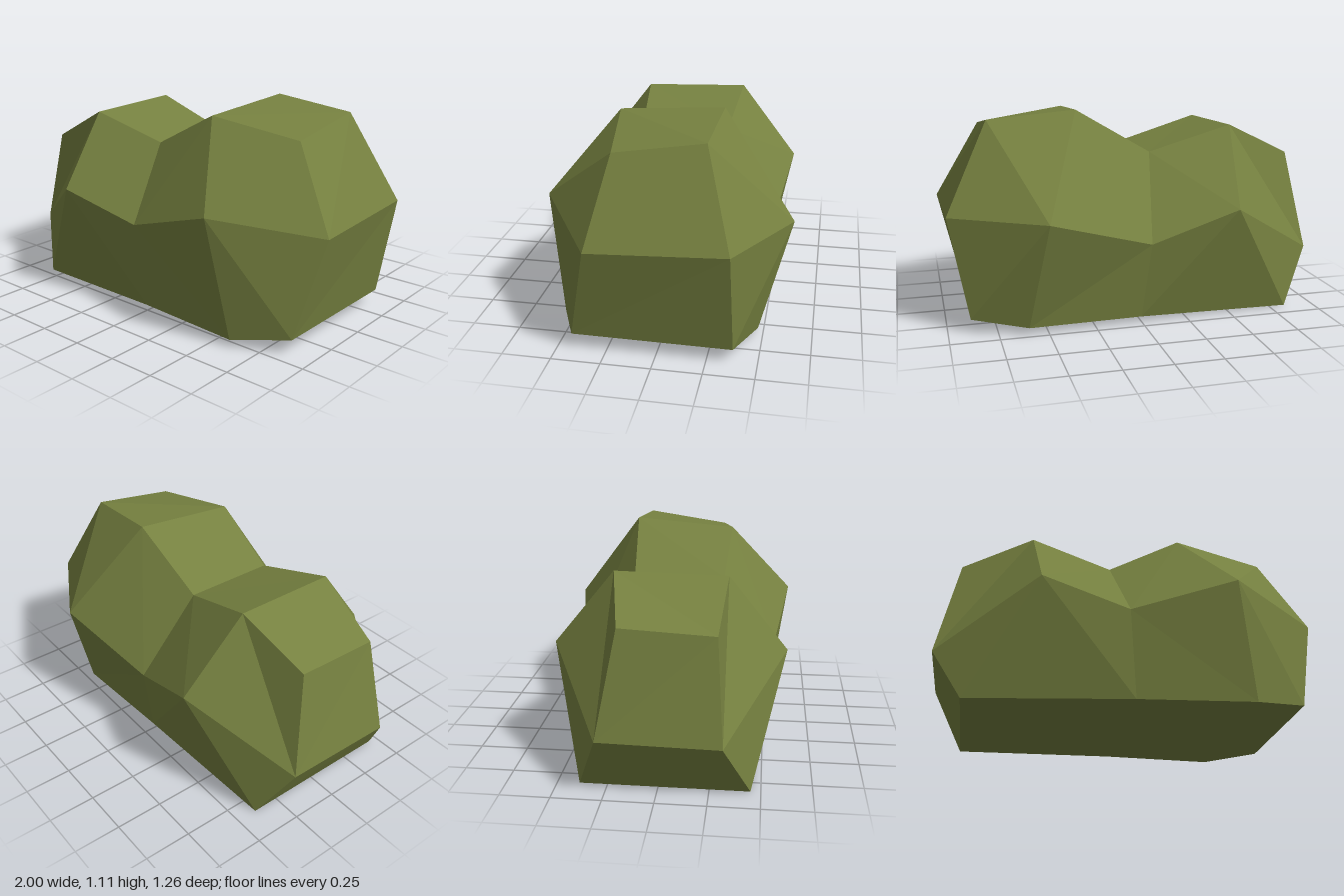
import * as THREE from 'three';

export function createModel() {
  const group = new THREE.Group();
  group.name = 'boulder';
  const mossGreen = new THREE.MeshStandardMaterial({ color: 0x768140 });
  mossGreen.name = 'mossGreen';
  mossGreen.flatShading = true;

  // Cross-sections from -x to +x, each a ring:
  // front bottom, front middle, front top, back top, back middle, back bottom
  const lowF = [-0.84, 0, 0.45], lowB = [-0.84, 0, -0.39];
  const rings = [
    [lowF, [-1, 0.29, 0.32], [-0.89, 0.8, 0.285], [-0.905, 0.83, -0.18], [-1, 0.3, -0.28], lowB],
    [lowF, [-0.49, 0.61, 0.61], [-0.525, 0.99, 0.315], [-0.54, 1.005, -0.25], [-0.485, 0.61, -0.57], lowB],
    [[0, 0.03, 0.5], [-0.035, 0.49, 0.55], [-0.1, 0.87, 0.27], [-0.1, 0.87, -0.215], [-0.035, 0.44, -0.51], [0, 0.03, -0.44]],
    [[0.6, 0.037, 0.545], [0.51, 0.665, 0.63], [0.28, 1.07, 0.295], [0.305, 1.11, -0.25], [0.51, 0.605, -0.63], [0.6, 0.037, -0.475]],
    [[0.885, 0.08, 0.425], [1, 0.585, 0.315], [0.765, 1.0, 0.225], [0.76, 1.07, -0.23], [0.985, 0.61, -0.37], [0.885, 0.075, -0.38]],
  ];

  const positions = [];
  const tri = (a, b, c) => {
    if (a !== b && b !== c && c !== a) positions.push(...a, ...b, ...c);
  };
  const quad = (a, b, c, d, flip) => {
    if (flip) { tri(a, b, d); tri(b, c, d); } else { tri(a, b, c); tri(a, c, d); }
  };

  // Skin between neighbouring rings; the diagonals fan out from the middle rows
  for (let i = 0; i < rings.length - 1; i++) {
    const p = rings[i], q = rings[i + 1];
    for (let j = 0; j < 6; j++) {
      const k = (j + 1) % 6;
      quad(p[j], q[j], q[k], p[k], j % 3 === 0);
    }
  }

  // End faces, an upper and a lower facet on each side
  const r = rings[4], l = rings[0];
  for (const j of [0, 1]) {
    quad(r[j], r[5 - j], r[4 - j], r[j + 1]);
    quad(l[5 - j], l[j], l[j + 1], l[4 - j]);
  }

  const geometry = new THREE.BufferGeometry();
  geometry.setAttribute('position', new THREE.Float32BufferAttribute(positions, 3));
  geometry.computeVertexNormals();
  const rock = new THREE.Mesh(geometry, mossGreen);
  rock.name = 'rock';
  group.add(rock);
  return group;
}
